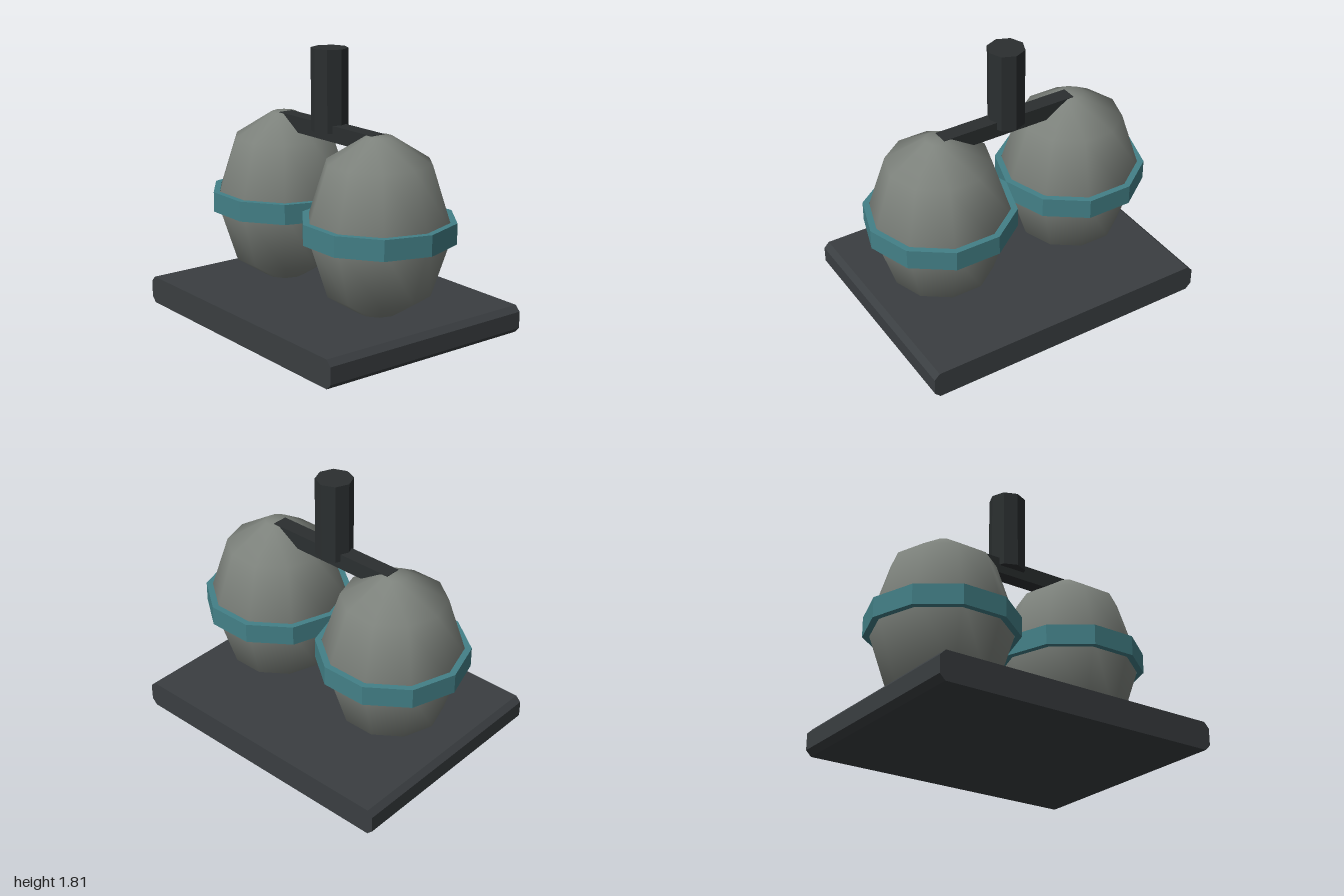
import * as THREE from 'three';

const SIDES = 10;
const material = (color, flatShading = true) => new THREE.MeshStandardMaterial({ color, flatShading });

// Lathe with a corner pointing along x
function turned(points, mat) {
  const geometry = new THREE.LatheGeometry(points.map(([r, y]) => new THREE.Vector2(r, y)), SIDES);
  geometry.rotateY(Math.PI / 2);
  return new THREE.Mesh(geometry, mat);
}

export function createModel() {
  const model = new THREE.Group();
  const baseMat = material(0x3a3e41);
  const pipeMat = material(0x2b2f30);
  const tankMat = material(0x7d827c, false);
  const bandMat = material(0x438087);
  const add = (name, mesh, parent = model) => {
    mesh.name = name;
    parent.add(mesh);
    return mesh;
  };

  // Base slab, long edges chamfered along z
  const w = 1, h = 0.185, c = 0.037, depth = 1.54;
  const profile = new THREE.Shape([
    [-w + c, 0], [w - c, 0], [w, c], [w, h - c], [w - c, h], [-w + c, h], [-w, h - c], [-w, c],
  ].map(([x, y]) => new THREE.Vector2(x, y)));
  const slab = new THREE.ExtrudeGeometry(profile, { depth, bevelEnabled: false });
  slab.translate(0, 0, -depth / 2);
  add('base', new THREE.Mesh(slab, baseMat));

  // Two banded tanks side by side
  for (const side of [-1, 1]) {
    const unit = new THREE.Group();
    unit.name = side > 0 ? 'leftTank' : 'rightTank';
    unit.position.x = side * 0.5;
    model.add(unit);
    add('tankBody', turned([
      [0, 0.15], [0.083, 0.15], [0.34, 0.313], [0.476, 0.735], [0.34, 1.157], [0.083, 1.32], [0, 1.32],
    ], tankMat), unit);
    add('band', turned([
      [0.457, 0.665], [0.5, 0.665], [0.5, 0.8], [0.457, 0.8], [0.457, 0.665],
    ], bandMat), unit);
  }

  // Crossbar joining the tank tops
  const bar = add('crossbar', new THREE.Mesh(new THREE.BoxGeometry(0.965, 0.107, 0.107), pipeMat));
  bar.position.y = 1.27;

  // Octagonal outlet pipe
  const pipe = add('outletPipe', new THREE.Mesh(new THREE.CylinderGeometry(0.122, 0.122, 0.538, 8), pipeMat));
  pipe.position.y = 1.541;

  return model;
}
